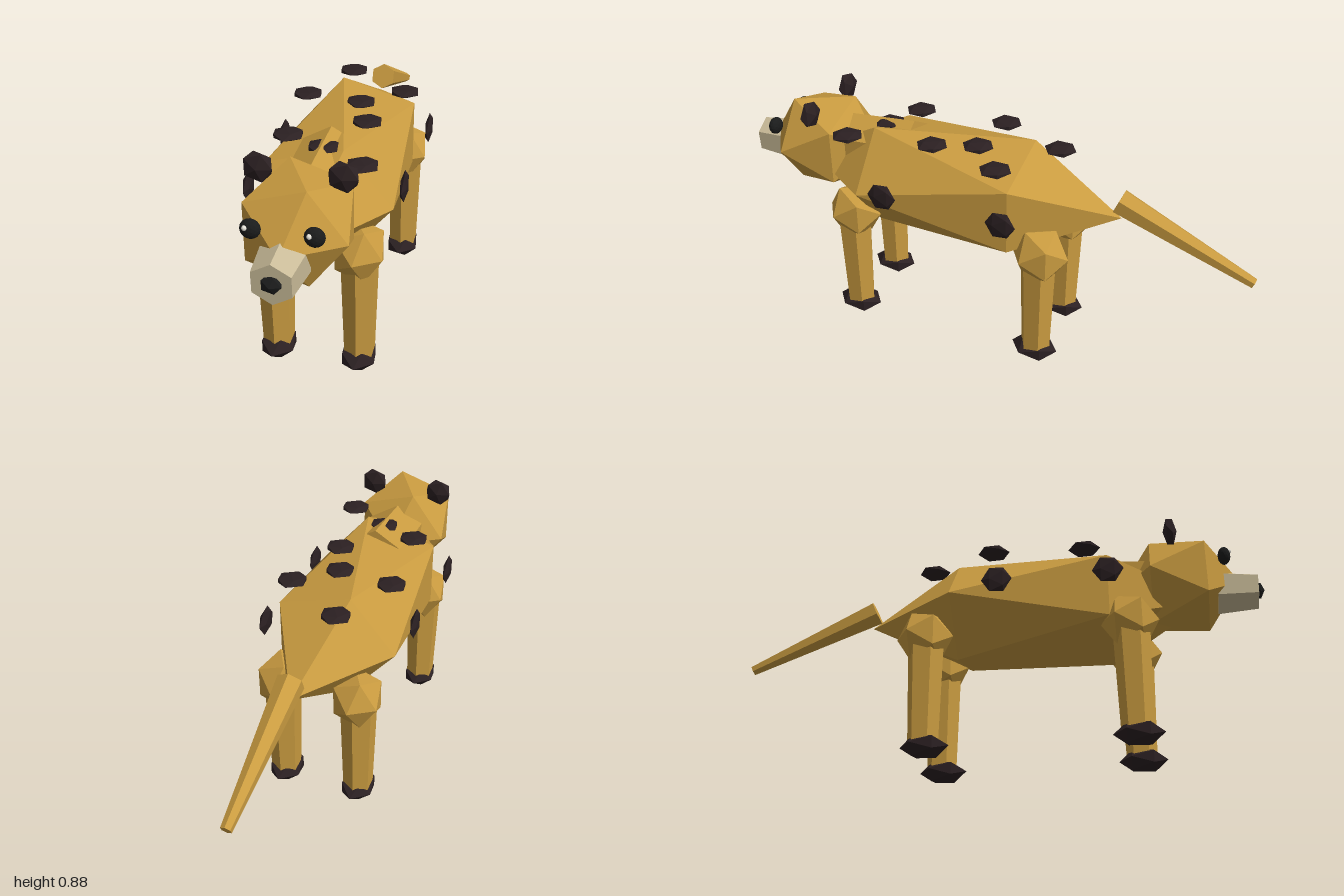
import * as THREE from 'three';

const flat = (name, color) => {
  const m = new THREE.MeshStandardMaterial({ color, flatShading: true });
  m.name = name;
  return m;
};

// Twenty-sided ball with its poles on the z axis
function facetedBall(sx, sy, sz) {
  const verts = [0, 0, 1];
  const faces = [];
  for (const [z, shift] of [[0.447, 0], [-0.447, 0.5]]) {
    for (let i = 0; i < 5; i++) {
      const a = (i + shift) * Math.PI * 0.4;
      verts.push(0.894 * Math.cos(a), 0.894 * Math.sin(a), z);
    }
  }
  verts.push(0, 0, -1);
  for (let i = 0; i < 5; i++) {
    const j = (i + 1) % 5;
    faces.push(0, 1 + i, 1 + j, 1 + i, 6 + i, 1 + j, 6 + i, 6 + j, 1 + j, 11, 6 + j, 6 + i);
  }
  return new THREE.PolyhedronGeometry(verts, faces, 1, 0).scale(sx, sy, sz);
}

export function createModel() {
  const model = new THREE.Group();
  const fur = flat('golden fur', 0xc99b40);
  const dark = flat('dark brown', 0x2b2022);
  const cream = flat('cream muzzle', 0xc9bb98);
  const black = flat('black', 0x1b1c1c);
  const white = flat('eye glint', 0xf4f0e6);

  const add = (name, geometry, material, x, y, z) => {
    const mesh = new THREE.Mesh(geometry, material);
    mesh.name = name;
    mesh.position.set(x, y, z);
    model.add(mesh);
    return mesh;
  };

  // Six-sided tapered rod between two points
  const rod = (name, material, from, to, rFrom, rTo) => {
    const a = new THREE.Vector3(...from), b = new THREE.Vector3(...to);
    const dir = b.clone().sub(a);
    const mid = a.clone().add(b).multiplyScalar(0.5);
    const mesh = add(name, new THREE.CylinderGeometry(rTo, rFrom, dir.length(), 6), material, mid.x, mid.y, mid.z);
    mesh.quaternion.setFromUnitVectors(new THREE.Vector3(0, 1, 0), dir.normalize());
    return mesh;
  };

  // Body, neck, tail
  add('body', facetedBall(0.272, 0.233, 0.65), fur, 0, 0.598, 0.145);
  rod('neck', fur, [0, 0.69, 0.3], [0, 0.67, 0.62], 0.125, 0.12);
  rod('tail', fur, [0, 0.667, -0.492], [0, 0.457, -0.992], 0.05, 0.02);

  // Head and muzzle
  add('head', facetedBall(0.205, 0.197, 0.225), fur, 0, 0.668, 0.69);
  rod('muzzle', cream, [0, 0.627, 0.83], [0, 0.621, 0.975], 0.087, 0.072);
  add('nose', facetedBall(0.038, 0.032, 0.026), black, 0, 0.624, 0.974);

  for (const side of [-1, 1]) {
    // Ears and eyes
    add('ear', facetedBall(0.056, 0.056, 0.026), dark, side * 0.136, 0.831, 0.67);
    add('eye', new THREE.IcosahedronGeometry(0.033, 2).scale(1, 1, 0.7), black, side * 0.099, 0.728, 0.86);
    add('eyeGlint', new THREE.IcosahedronGeometry(0.009, 1), white, side * 0.099 - 0.011, 0.739, 0.878);

    // Legs
    for (const [place, z] of [['front', 0.507], ['hind', -0.25]]) {
      add(place + 'Joint', facetedBall(0.1, 0.112, 0.107), fur, side * 0.144, 0.466, z - 0.005);
      add(place + 'Leg', new THREE.CylinderGeometry(0.068, 0.056, 0.41, 6), fur, side * 0.148, 0.245, z);
      add(place + 'Paw', facetedBall(0.07, 0.044, 0.09), dark, side * 0.147, 0.038, z + 0.005);
    }
  }

  // Spots above the back
  const backSpots = [
    [-0.06, -0.245], [0.17, -0.09], [-0.17, 0.01], [0.035, 0.035],
    [0.095, 0.19], [-0.14, 0.35], [0, 0.41], [0.155, 0.505],
  ];
  for (const [x, z] of backSpots) add('backSpot', facetedBall(0.06, 0.014, 0.06), dark, x, 0.789, z);

  // Spots beside the flanks
  for (const [x, z] of [[0.256, 0.32], [0.256, -0.145], [-0.257, 0.035], [-0.257, 0.44]]) {
    add('flankSpot', facetedBall(0.013, 0.057, 0.057), dark, x, 0.626, z);
  }
  return model;
}
